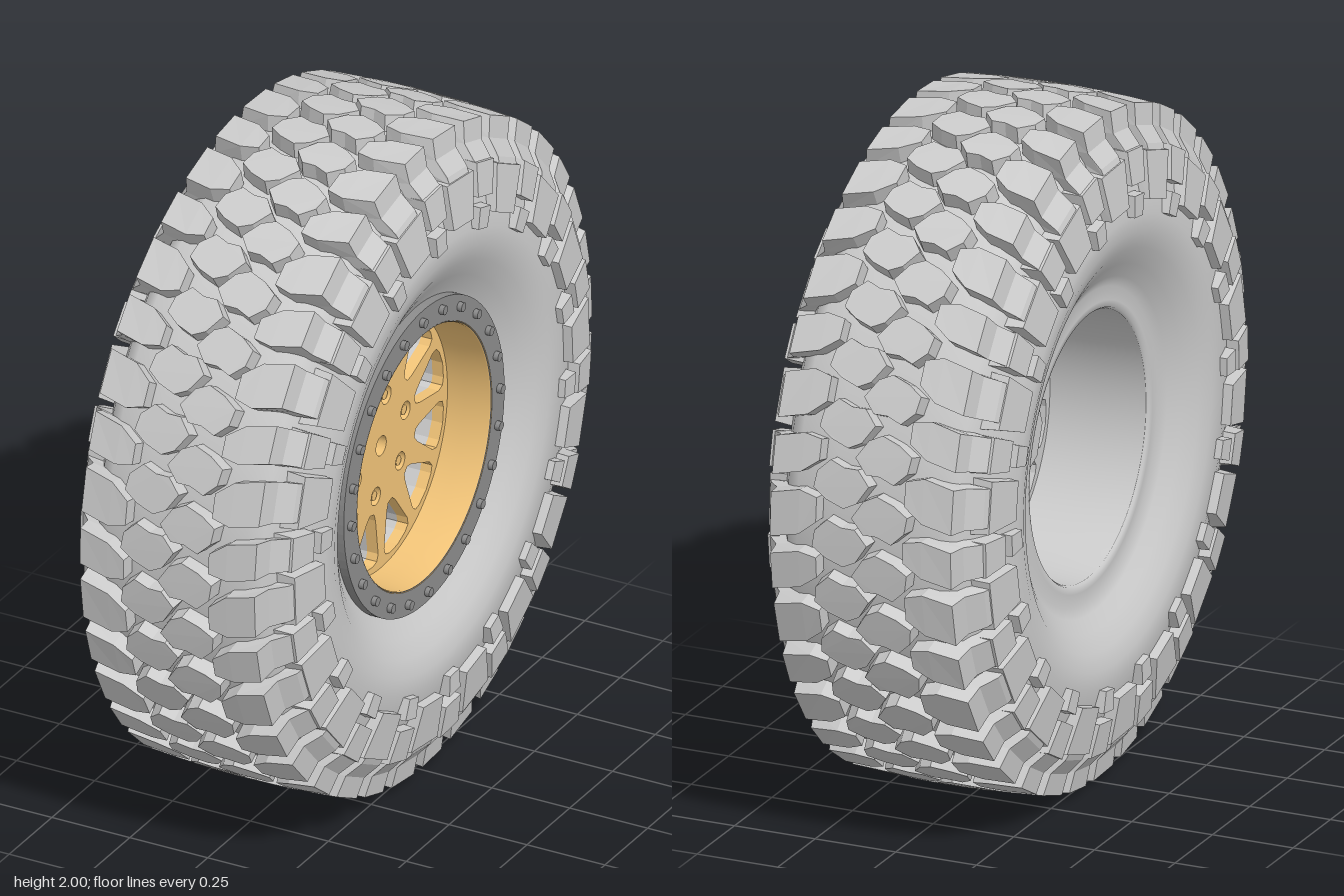
import * as THREE from 'three';
import { mergeGeometries } from 'three/addons/utils/BufferGeometryUtils.js';

// Local frame: wheel axis on z (outer face +z); the group is turned to face +x at the end.
const ROWS = 36, PITCH = Math.PI * 2 / ROWS, DEG = Math.PI / 180;
const mat = (color = 0xcccccc) => new THREE.MeshStandardMaterial({ color });
const GREY = mat(), DARK = mat(0x8c8c8c), GOLD = mat(0xf2c478);
GREY.side = GOLD.side = THREE.DoubleSide;

const polar = (r, a, z) => new THREE.Vector3(r * Math.cos(a), r * Math.sin(a), z);

function named(name, geometry, material) {
  const m = new THREE.Mesh(geometry, material);
  m.name = name;
  return m;
}

// Flat-sided solid between two placements of one 2D outline.
function prism(pts, base, top) {
  const A = pts.map(base), B = pts.map(top), tris = [];
  const outline = pts.map(p => new THREE.Vector2(...p));
  const ccw = THREE.ShapeUtils.area(outline) > 0;
  for (const [a, b, c] of THREE.ShapeUtils.triangulateShape(outline, [])) {
    const ok = THREE.ShapeUtils.area([outline[a], outline[b], outline[c]]) > 0;
    const [i, j] = ok ? [b, c] : [c, b];
    tris.push([B[a], B[i], B[j]], [A[a], A[j], A[i]]);
  }
  pts.forEach((_, i) => {
    const j = (i + 1) % pts.length, [p, q] = ccw ? [i, j] : [j, i];
    tris.push([A[p], A[q], B[q]], [A[p], B[q], B[p]]);
  });
  // Turn the solid outward if its signed volume is negative
  const volume = tris.reduce((v, t) => {
    const [p, q, r] = t.map(x => x.clone().sub(A[0]));
    return v + p.dot(q.cross(r));
  }, 0);
  if (volume < 0) tris.forEach(t => t.reverse());
  const g = new THREE.BufferGeometry().setFromPoints(tris.flat());
  g.computeVertexNormals();
  return g;
}

// Lathe about the wheel axis; profile is [radius, z].
function lathe(profile, segments = 96) {
  const pts = profile.map(p => new THREE.Vector2(...p));
  return new THREE.LatheGeometry(pts, segments).rotateX(Math.PI / 2);
}

function disc(radius, holes, depth, z, curveSegments = 48) {
  const s = new THREE.Shape().absarc(0, 0, radius, 0, Math.PI * 2);
  s.holes.push(...holes);
  return new THREE.ExtrudeGeometry(s, { depth, bevelEnabled: false, curveSegments }).translate(0, 0, z);
}

const circleHole = (x, y, r) => new THREE.Path().absarc(x, y, r, 0, Math.PI * 2);

const crown = z => 1 - 0.15 * z * z;

// Long zigzag blocks along the middle of the tread
function centreBlocks() {
  const outline = [[-0.148, -0.02], [-0.105, -0.05], [-0.05, -0.07], [-0.01, -0.05], [0.026, 0.005],
    [-0.012, 0.05], [-0.055, 0.05], [-0.1, 0.068], [-0.14, 0.03]];
  const out = [];
  for (let i = 0; i < ROWS; i++) for (const side of [1, -1]) {
    const a0 = (i + (side < 0 ? 0.5 : 0)) * PITCH;
    const place = (k, radius) => ([z, s]) => {
      const zz = -side * (-0.06 + (z + 0.06) * k);
      return polar(radius(zz), a0 + side * s * k, zz);
    };
    out.push(prism(outline, place(1.04, () => 0.93), place(0.98, crown)));
  }
  return mergeGeometries(out);
}

// Lugs wrapping over the tyre shoulder, their narrowed tips reaching between the middle blocks
function shoulderLugs() {
  const profile = [[0.135, 0.92], [0.135, 0.996], [0.19, 0.994], [0.28, 0.988], [0.291, 0.925], [0.33, 0.88],
    [0.338, 0.86], [0.25, 0.84], [0.19, 0.92]];
  const out = [];
  for (let i = 0; i < ROWS; i++) for (const side of [1, -1]) {
    const a0 = 93 * DEG + (i + (side < 0 ? 0.5 : 0)) * PITCH;
    const half = i % 2 ? 0.066 : 0.056;
    const edge = e => ([z, r]) => {
      const skew = Math.max(0, 0.27 - z) * 0.27;
      const width = z < 0.15 ? 0.55 : 1;
      return polar(r, a0 + skew + e * half * width, side * z);
    };
    out.push(prism(profile, edge(-1), edge(1)));
  }
  return mergeGeometries(out);
}

// Raised blocks on the sidewalls: wide ones alternating with a small block and a nub
function sidewallBlocks() {
  const face = r => 0.362 - Math.max(0, r - 0.74) * 0.17;
  const out = [];
  const block = (side, angle, r0, r1, w0, w1) => {
    const rc = (r0 + r1) / 2;
    const outline = [[-w0 / 2, r0], [w0 / 2, r0], [w1 / 2, r1], [-w1 / 2, r1]];
    const place = (k, z) => ([s, r]) => {
      const rr = rc + (r - rc) * k;
      return polar(rr, angle + s * k / rc, side * z(rr));
    };
    out.push(prism(outline, place(1.06, () => 0.27), place(0.98, face)));
  };
  for (let i = 0; i < ROWS; i++) for (const side of [1, -1]) {
    const a = 93 * DEG + (i + (side < 0 ? 0.5 : 0)) * PITCH;
    if (i % 2) block(side, a, 0.725, 0.865, 0.13, 0.145);
    else {
      block(side, a, 0.78, 0.88, 0.095, 0.1);
      block(side, a, 0.685, 0.75, 0.058, 0.062);
    }
  }
  return mergeGeometries(out);
}

// Carcass: smooth body from the inner bead to the outer bead
function carcass() {
  const half = [[0.46, 0.25], [0.49, 0.266], [0.53, 0.293], [0.58, 0.323], [0.63, 0.34], [0.68, 0.342], [0.74, 0.33],
    [0.8, 0.312], [0.86, 0.29], [0.91, 0.262], [0.938, 0.22], [0.95, 0.1]];
  const back = half.map(([r, z]) => [r, -z]);
  return lathe([[0.395, -0.24], [0.4, -0.252], [0.42, -0.254], ...back, ...half.reverse()], 120);
}

// Tapered rounded opening between two spokes
function spokeHole(angle) {
  const pts = [[0.205, -0.012], [0.225, -0.026], [0.33, -0.07], [0.352, -0.068], [0.364, -0.048], [0.372, 0],
    [0.364, 0.048], [0.352, 0.068], [0.33, 0.07], [0.225, 0.026], [0.205, 0.012]];
  const c = Math.cos(angle), s = Math.sin(angle);
  return new THREE.Path(pts.map(([u, v]) => new THREE.Vector2(u * c - v * s, u * s + v * c)));
}

function rim() {
  const g = new THREE.Group();
  g.name = 'rim';
  const boltAt = i => [0.15 * Math.cos((78 + 60 * i) * DEG), 0.15 * Math.sin((78 + 60 * i) * DEG)];
  const openings = () => [circleHole(0, 0, 0.03),
    ...Array.from({ length: 6 }, (_, i) => circleHole(...boltAt(i), 0.027)),
    ...Array.from({ length: 12 }, (_, i) => spokeHole((15 + 30 * i) * DEG))];
  g.add(named('spokeFace', disc(0.389, openings(), 0.035, 0.11), GOLD));
  g.add(named('spokeBack', disc(0.389, openings(), 0.06, 0.05), GREY));
  // Eight-sided mounting pad behind the hub
  g.add(named('hubPad', disc(0.124, [circleHole(0, 0, 0.03)], 0.1, -0.05, 4), GREY));
  g.add(named('rimDish', lathe([[0.395, 0.284], [0.389, 0.278], [0.388, 0.2], [0.388, 0.1]]), GOLD));
  g.add(named('barrel', lathe([[0.389, 0.1], [0.39, -0.1], [0.393, -0.2], [0.395, -0.245]]), GREY));
  // Wheel studs inside the six hub holes
  for (let i = 0; i < 6; i++) {
    const stud = named('stud', new THREE.CylinderGeometry(0.015, 0.015, 0.12, 12).rotateX(Math.PI / 2), GOLD);
    stud.position.set(...boltAt(i), 0.08);
    g.add(stud);
  }
  // Clamp ring and its 24 bolts
  g.add(named('clampRing', disc(0.47, [circleHole(0, 0, 0.392)], 0.045, 0.238), DARK));
  for (let i = 0; i < 24; i++) {
    const bolt = named('ringBolt', new THREE.CylinderGeometry(0.014, 0.014, 0.03, 10).rotateX(Math.PI / 2), DARK);
    bolt.position.copy(polar(0.436, (92 + 15 * i) * DEG, 0.283));
    g.add(bolt);
  }
  return g;
}

export function createModel() {
  const wheel = new THREE.Group();
  wheel.name = 'wheel';
  const tyre = new THREE.Group();
  tyre.name = 'tyre';
  tyre.add(
    named('carcass', carcass(), GREY),
    named('centreBlocks', centreBlocks(), GREY),
    named('shoulderLugs', shoulderLugs(), GREY),
    named('sidewallBlocks', sidewallBlocks(), GREY));
  wheel.add(tyre, rim());
  wheel.rotation.y = Math.PI / 2;
  wheel.position.y = 1;
  const model = new THREE.Group();
  model.name = 'offRoadWheel';
  model.add(wheel);
  return model;
}
